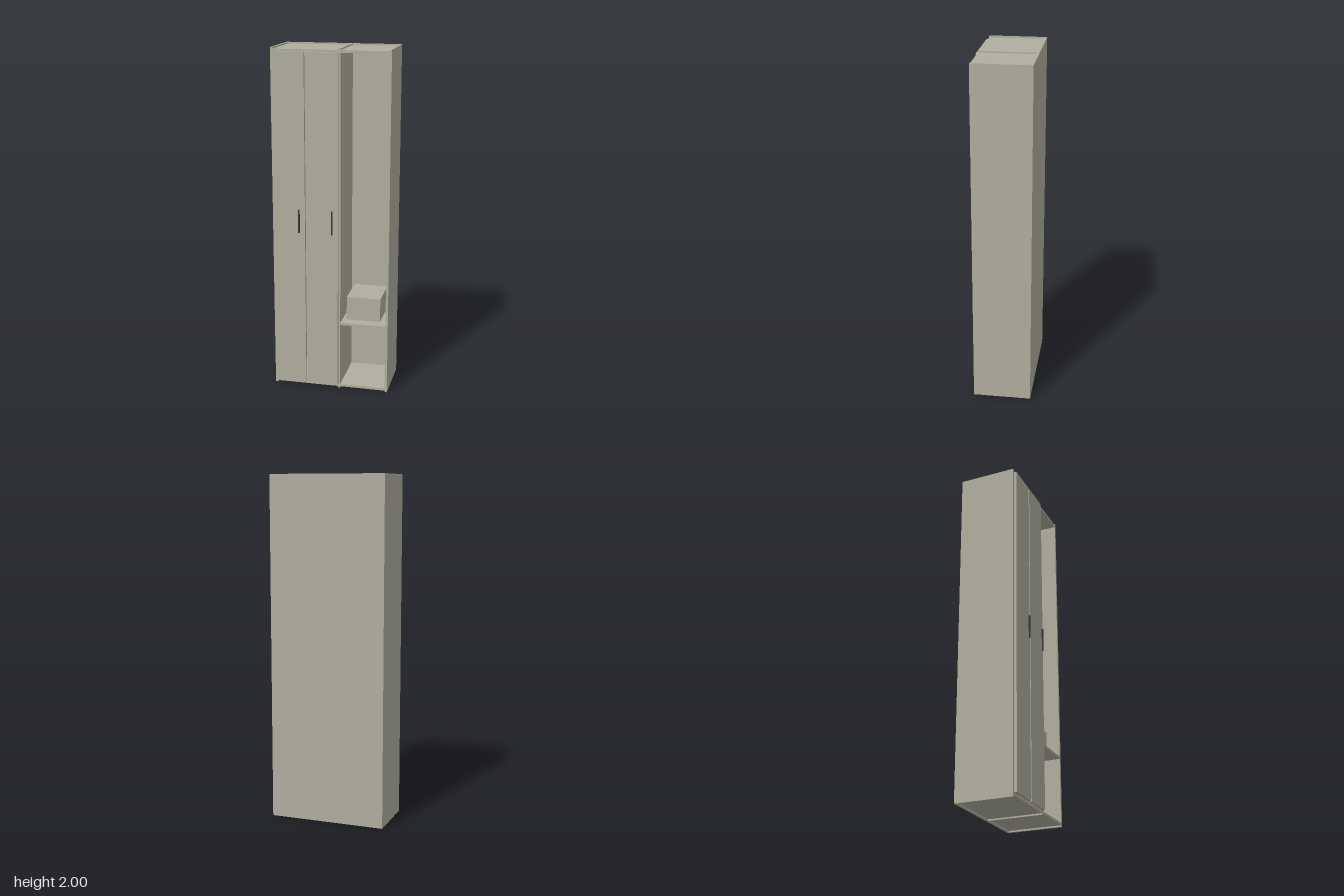
import * as THREE from 'three';

export function createModel() {
  const wardrobe = new THREE.Group();
  wardrobe.name = 'wardrobe';

  const panelMat = new THREE.MeshStandardMaterial({ color: 0xb0ae9f });
  panelMat.name = 'warm grey panel';
  const handleMat = new THREE.MeshStandardMaterial({ color: 0x30373b });
  handleMat.name = 'dark handle';

  // Box given by its min and max along each axis
  function block(name, [x0, x1], [y0, y1], [z0, z1], material = panelMat) {
    const mesh = new THREE.Mesh(new THREE.BoxGeometry(x1 - x0, y1 - y0, z1 - z0), material);
    mesh.position.set((x0 + x1) / 2, (y0 + y1) / 2, (z0 + z1) / 2);
    mesh.name = name;
    wardrobe.add(mesh);
  }

  const W = 0.34, T = 0.014, H = 2;
  const back = -0.185, front = 0.15;
  const inner = [back + T, front];
  const closet = [-W + T, 0.044];
  const niche = [0.058, W - T];

  // Carcass: back, sides and divider run the full height
  block('backPanel', [-W, W], [0, H], [back, back + T]);
  block('rightSide', [-W, -W + T], [0, H], inner);
  block('leftSide', [W - T, W], [0, H], inner);
  block('divider', [closet[1], niche[0]], [0, H], inner);

  // Top and bottom panels, slightly recessed between the uprights
  for (const [name, span] of [['closet', closet], ['niche', niche]]) {
    block(name + 'Top', span, [1.978, 1.992], inner);
    block(name + 'Bottom', span, [0.009, 0.023], inner);
  }

  // Open niche: shelf with a storage box on it
  block('nicheShelf', niche, [0.4, 0.414], inner);
  block('storageBox', [0.083, 0.283], [0.414, 0.554], [-0.148, 0.087]);

  // Two doors, each with a slim bar handle
  for (const [side, x] of [['right', -0.329], ['left', -0.137]]) {
    block(side + 'Door', [x, x + 0.184], [0.024, 1.98], [front, 0.167]);
    block(side + 'Handle', [x + 0.148, x + 0.156], [0.955, 1.092], [0.176, 0.184], handleMat);
  }

  return wardrobe;
}
